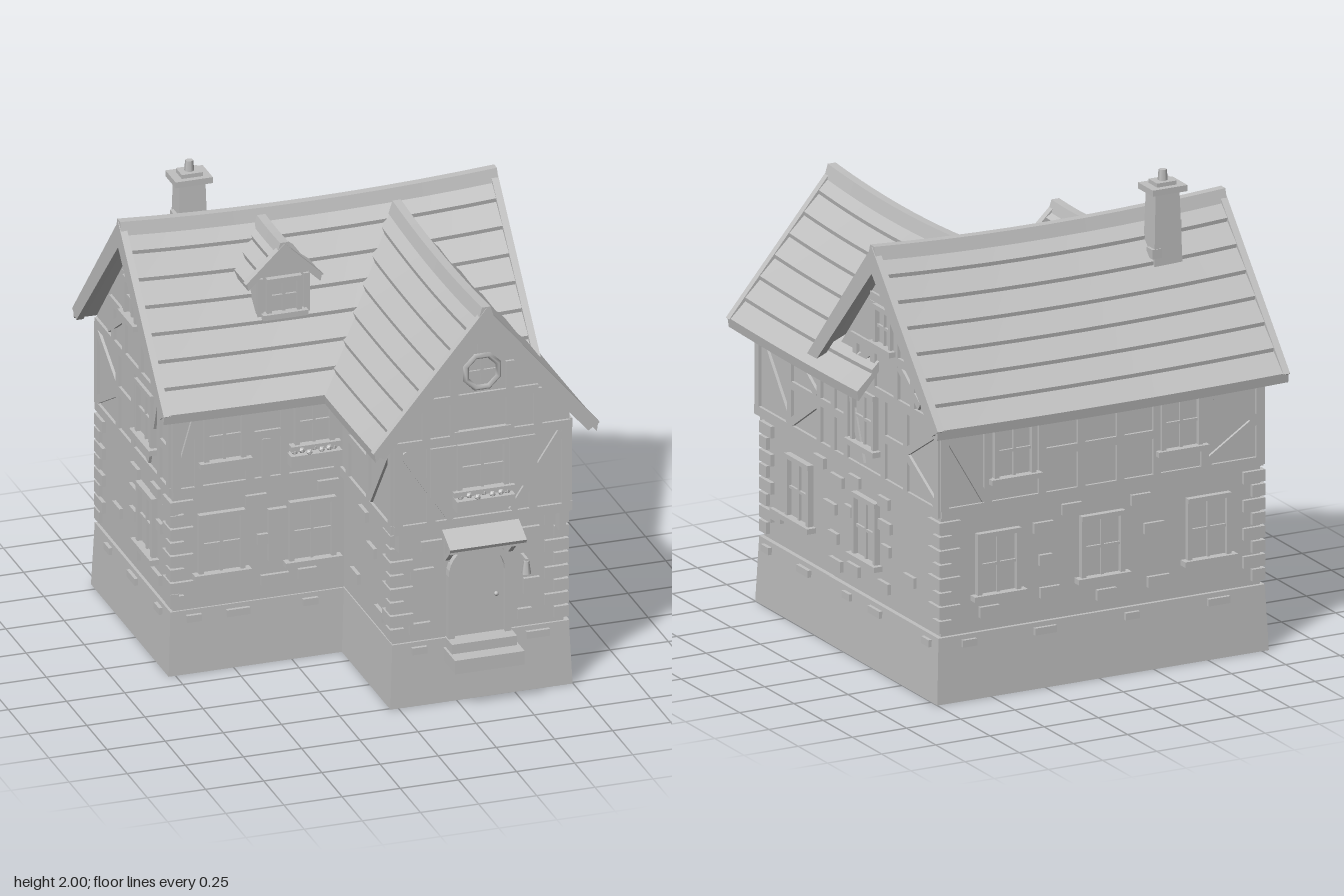
import * as THREE from 'three';

export function createModel() {
  const root = new THREE.Group();
  root.name = 'cottage';
  const grey = new THREE.MeshStandardMaterial({ color: 0xc0c0c0, side: THREE.DoubleSide });
  grey.name = 'plain grey';

  const group = (parent, name, x = 0, y = 0, z = 0, ry = 0) => {
    const g = new THREE.Group();
    g.name = name;
    g.position.set(x, y, z);
    g.rotation.y = ry;
    parent.add(g);
    return g;
  };
  const mesh = (parent, name, geo) => {
    const m = new THREE.Mesh(geo, grey);
    m.name = name;
    parent.add(m);
    return m;
  };
  // box given by its limits
  const box = (parent, name, x0, x1, y0, y1, z0, z1) => {
    const m = mesh(parent, name, new THREE.BoxGeometry(x1 - x0, y1 - y0, z1 - z0));
    m.position.set((x0 + x1) / 2, (y0 + y1) / 2, (z0 + z1) / 2);
    return m;
  };
  const outline = pts => new THREE.Shape(pts.map(p => new THREE.Vector2(p[0], p[1])));
  const extrude = (shape, depth) =>
    new THREE.ExtrudeGeometry(shape, { depth, bevelEnabled: false, curveSegments: 8 });
  // plank between two points on a wall
  const beam = (g, u1, v1, u2, v2, w = 0.035, d = 0.012, name = 'timber') => {
    const m = mesh(g, name, new THREE.BoxGeometry(Math.hypot(u2 - u1, v2 - v1), w, d + 0.01));
    m.position.set((u1 + u2) / 2, (v1 + v2) / 2, (d - 0.01) / 2);
    m.rotation.z = Math.atan2(v2 - v1, u2 - u1);
  };

  // ---- plinth: two open-bottomed, tapered boxes
  const plinth = (x0, x1, z0, z1) => {
    const m = box(root, 'plinth', x0, x1, 0, 0.28, z0, z1);
    const p = m.geometry.attributes.position;
    for (let i = 0; i < p.count; i++) {
      if (p.getY(i) < 0) continue;
      p.setX(i, p.getX(i) - Math.sign(p.getX(i)) * 0.012);
      p.setZ(i, p.getZ(i) - Math.sign(p.getZ(i)) * 0.012);
    }
    const idx = Array.from(m.geometry.index.array);
    m.geometry.setIndex(idx.filter((_, i) => i < 18 || i >= 24));
    m.geometry.clearGroups();
    m.geometry.computeVertexNormals();
  };
  plinth(-0.78, 0.75, -0.8, 0.16);
  plinth(-0.035, 0.748, -0.33, 0.76);

  // ---- walls
  box(root, 'stoneWall', -0.755, 0.718, 0.27, 0.8, -0.772, 0.14);
  box(root, 'stoneWall', -0.018, 0.716, 0.27, 0.8, -0.3, 0.738);
  const house = (hw, eave, apex) => outline([[-hw, 0.79], [hw, 0.79], [hw, eave], [0, apex], [-hw, eave]]);
  const mainUpper = mesh(root, 'upperWall', extrude(house(0.465, 1.21, 1.73), 1.485));
  mainUpper.rotation.y = Math.PI / 2;
  mainUpper.position.set(-0.76, 0, -0.315);
  const wingUpper = mesh(root, 'upperWall', extrude(house(0.378, 1.23, 1.69), 1.07));
  wingUpper.position.set(0.346, 0, -0.28);

  // ---- roofs: lapped rows on two slopes, ridge sagging in the middle
  const sagged = (geo, len, sag) => {
    const p = geo.attributes.position;
    for (let i = 0; i < p.count; i++) {
      const a = (2 * p.getX(i)) / len;
      p.setY(i, p.getY(i) - sag * (1 - a * a));
    }
    geo.computeVertexNormals();
    return geo;
  };
  const roof = (name, x, z, ry, len, top, W, H, rows, sag, bargeV, ends, t = 0.03) => {
    const g = group(root, name, x, 0, z, ry);
    for (const side of [0, Math.PI]) {
      const slope = group(g, 'roofSlope', 0, 0, 0, side);
      for (let r = 0; r < rows; r++) {
        const geo = new THREE.BoxGeometry(len, 1, 1, 10, 1, 1);
        const p = geo.attributes.position;
        for (let i = 0; i < p.count; i++) {
          const low = p.getZ(i) > 0, up = p.getY(i) > 0;
          const s = (r + (low ? 1 : 0)) / rows, a = (2 * p.getX(i)) / len;
          const lift = up ? (low ? 0.012 : -0.004) : -t;
          p.setZ(i, s * W + (up ? 0.006 : 0));
          p.setY(i, top - s * H + lift - sag * (1 - a * a) * (1 - 0.7 * s));
        }
        geo.computeVertexNormals();
        mesh(slope, 'shingleRow', geo);
      }
    }
    const cap = outline([[-0.035, -0.03], [0, -0.005], [0.035, -0.03], [0.018, 0.025], [-0.018, 0.025]]);
    const capGeo = new THREE.ExtrudeGeometry(cap, { depth: len, steps: 10, bevelEnabled: false });
    capGeo.rotateY(Math.PI / 2).translate(-len / 2, 0, 0);
    mesh(g, 'ridgeCap', sagged(capGeo, len, sag)).position.y = top;
    // gable boards
    const b = top + 0.02, k = bargeV * 0.45;
    const chevron = outline([[0, b], [W + 0.012, b - H - 0.01], [W + 0.012 - k, b - H - k * 0.8],
      [0, b - bargeV], [k - W - 0.012, b - H - k * 0.8], [-W - 0.012, b - H - 0.01]]);
    const geo = extrude(chevron, 0.03).rotateY(Math.PI / 2);
    for (const e of ends) mesh(g, 'gableBoard', geo).position.x = e * (len / 2 - 0.012) - 0.015;
  };
  roof('mainRoof', -0.016, -0.325, 0, 1.62, 1.81, 0.555, 0.62, 7, 0.028, 0.115, [-1, 1]);
  roof('wingRoof', 0.345, 0.298, Math.PI / 2, 1.11, 1.755, 0.475, 0.57, 7, 0.022, 0.11, [-1]);
  roof('dormerRoof', -0.225, -0.148, Math.PI / 2, 0.29, 1.76, 0.155, 0.15, 3, 0.004, 0.05, [-1], 0.02);

  // ---- chimney
  const stack = mesh(root, 'chimney', new THREE.CylinderGeometry(0.078, 0.098, 0.45, 4, 1).toNonIndexed().rotateY(Math.PI / 4));
  stack.geometry.computeVertexNormals();
  stack.scale.z = 0.76;
  stack.position.set(-0.48, 1.69, -0.448);
  box(root, 'chimneyCap', -0.56, -0.4, 1.912, 1.938, -0.512, -0.385);
  box(root, 'chimneyCap', -0.525, -0.435, 1.938, 1.955, -0.485, -0.41);
  mesh(root, 'chimneyPot', new THREE.CylinderGeometry(0.017, 0.022, 0.06, 6)).position.set(-0.48, 1.97, -0.448);
  box(root, 'chimneyStone', -0.555, -0.52, 1.74, 1.78, -0.47, -0.41);
  box(root, 'chimneyStone', -0.45, -0.405, 1.64, 1.68, -0.5, -0.45);

  // ---- wall-detail helpers; every wall frame has u to the right, v up, z outward
  const windowAt = (g, u, v0, v1, w = 0.2) => {
    const f = group(g, 'window'), h = w / 2, b = 0.02;
    box(f, 'pane', u - h, u + h, v0, v1, -0.01, 0.004);
    for (const s of [-1, 1]) {
      box(f, 'frame', u + s * (h - b / 2) - b / 2, u + s * (h - b / 2) + b / 2, v0, v1, -0.01, 0.024);
    }
    box(f, 'frame', u - h, u + h, v1 - b, v1, -0.01, 0.026);
    box(f, 'mullion', u - 0.006, u + 0.006, v0, v1, -0.01, 0.014);
    box(f, 'mullion', u - h, u + h, (v0 + v1) / 2 - 0.006, (v0 + v1) / 2 + 0.006, -0.01, 0.014);
    box(f, 'sill', u - h - 0.022, u + h + 0.022, v0 - 0.005, v0 + 0.018, -0.01, 0.04);
  };
  const stone = (g, u, v, w = 0.09, h = 0.045) => box(g, 'stone', u - w / 2, u + w / 2, v - h / 2, v + h / 2, -0.02, 0.016);
  // alternating corner stones; dir points from the corner into the wall
  const quoins = (g, u, dir) => {
    for (let i = 0; i < 8; i++) {
      const w = i % 2 ? 0.1 : 0.06, v = 0.325 + i * 0.06;
      stone(g, u + dir * (w / 2 - 0.016), v, w, 0.05);
    }
  };
  const frameWork = (g, u0, u1, posts, braces) => {
    beam(g, u0, 0.81, u1, 0.81, 0.04);
    beam(g, u0, 1.18, u1, 1.18, 0.04);
    posts.forEach(u => beam(g, u, 0.82, u, 1.18));
    braces.forEach(b => beam(g, ...b));
  };
  const flowerBox = (g, u, w) => {
    box(g, 'flowerBox', u - w / 2, u + w / 2, 0.875, 0.925, -0.01, 0.06);
    for (let i = 0; i < 7; i++) {
      const m = mesh(g, 'flower', new THREE.IcosahedronGeometry(0.014, 0));
      m.position.set(u + (i / 6 - 0.5) * (w - 0.05), 0.932 + (i % 2) * 0.008, 0.03 + (i % 3) * 0.01);
    }
  };
  const shutter = (g, u, v0, v1, w) => box(g, 'shutter', u - w / 2, u + w / 2, v0, v1, -0.01, 0.022);

  // ---- main front
  const lowF = group(root, 'frontStonework', 0, 0, 0.14);
  const upF = group(root, 'frontTimbers', 0, 0, 0.15);
  [-0.55, -0.16].forEach(u => windowAt(lowF, u, 0.42, 0.7));
  shutter(lowF, -0.31, 0.45, 0.68, 0.08);
  quoins(lowF, -0.755, 1);
  [[-0.32, 0.365, 0.12], [-0.18, 0.37, 0.08], [-0.4, 0.73], [-0.09, 0.75], [-0.37, 0.55, 0.05]].forEach(s => stone(lowF, ...s));
  frameWork(upF, -0.76, -0.03, [-0.745, -0.65, -0.43, -0.28, -0.05],
    [[-0.43, 1.02, -0.28, 1.02], [-0.74, 0.86, -0.66, 1.14], [-0.36, 0.83, -0.36, 1.0], [-0.65, 0.89, -0.43, 0.89]]);
  windowAt(upF, -0.54, 0.92, 1.16, 0.18);
  windowAt(upF, -0.155, 0.94, 1.16, 0.17);
  flowerBox(upF, -0.16, 0.22);

  // ---- wing front
  const lowW = group(root, 'wingStonework', 0.346, 0, 0.738);
  const upW = group(root, 'wingTimbers', 0.346, 0, 0.79);
  quoins(lowW, -0.364, 1);
  quoins(lowW, 0.37, -1);
  [[-0.25, 0.34], [-0.24, 0.58, 0.1], [0.23, 0.46, 0.07, 0.07], [-0.2, 0.7], [0.22, 0.7], [0.2, 0.34, 0.06]].forEach(s => stone(lowW, ...s));
  frameWork(upW, -0.378, 0.378, [-0.36, -0.22, 0.22, 0.36], []);
  beam(upW, -0.12, 1.2, 0.12, 1.2, 0.035, 0.02);
  beam(upW, -0.24, 1.36, 0.24, 1.36);
  beam(upW, 0, 1.56, 0, 1.66, 0.04);
  for (const s of [-1, 1]) {
    beam(upW, s * 0.34, 1.15, s * 0.13, 0.83);
    beam(upW, s * 0.12, 1.2, s * 0.12, 1.36);
    beam(upW, s * 0.24, 1.2, s * 0.24, 1.36);
    beam(upW, s * 0.12, 1.36, s * 0.12, 1.5);
    shutter(upW, s * 0.17, 0.94, 1.16, 0.11);
    box(upW, 'corbel', s * 0.345 - 0.014, s * 0.345 + 0.014, 0.71, 0.8, -0.06, 0.01);
  }
  windowAt(upW, 0, 0.94, 1.16, 0.22);
  flowerBox(upW, 0, 0.25);
  const ring = mesh(upW, 'roundWindow', new THREE.TorusGeometry(0.075, 0.013, 4, 8).rotateZ(Math.PI / 8));
  ring.position.set(0, 1.47, 0.008);
  beam(upW, -0.07, 1.47, 0.07, 1.47, 0.012, 0.008, 'mullion');
  beam(upW, 0, 1.4, 0, 1.54, 0.012, 0.008, 'mullion');

  // ---- door, canopy, steps and lantern
  const arch = (r, y0) => new THREE.Shape().moveTo(-r, y0).lineTo(r, y0).lineTo(r, 0.56).absarc(0, 0.56, r, 0, Math.PI).lineTo(-r, y0);
  const surround = arch(0.135, 0.27);
  surround.holes.push(arch(0.108, 0.275));
  mesh(lowW, 'doorSurround', extrude(surround, 0.035));
  mesh(lowW, 'door', extrude(arch(0.108, 0.275), 0.012));
  mesh(lowW, 'doorKnob', new THREE.SphereGeometry(0.01, 8, 6)).position.set(0.075, 0.45, 0.02);
  box(lowW, 'step', -0.15, 0.15, 0.18, 0.24, -0.01, 0.155);
  box(lowW, 'step', -0.14, 0.14, 0.24, 0.282, -0.01, 0.09);
  const canopy = box(lowW, 'canopy', -0.165, 0.165, 0.745, 0.762, -0.005, 0.145);
  canopy.rotation.x = 0.45;
  box(lowW, 'canopyBeam', -0.155, 0.155, 0.695, 0.72, 0.09, 0.115);
  for (const s of [-1, 1]) {
    const u = s * 0.135;
    const strut = box(lowW, 'canopyStrut', u - 0.01, u + 0.01, 0.665, 0.685, -0.02, 0.13);
    strut.rotation.x = -0.75;
    box(lowW, 'canopyPost', u - 0.01, u + 0.01, 0.62, 0.78, -0.01, 0.02);
  }
  box(lowW, 'lanternArm', 0.186, 0.198, 0.595, 0.605, -0.01, 0.065);
  mesh(lowW, 'lantern', new THREE.CylinderGeometry(0.012, 0.02, 0.055, 6)).position.set(0.192, 0.565, 0.055);

  // ---- side gables: u runs along the wall, mirrored for the left side
  const gable = (low, up, c, k) => {
    const U = z => k * (z - c);
    windowAt(low, U(-0.15), 0.42, 0.7);
    windowAt(up, U(-0.15), 0.91, 1.16);
    windowAt(up, U(-0.32), 1.38, 1.56, 0.15);
    quoins(low, U(-0.772), k);
    [[-0.52, 0.45], [-0.04, 0.36, 0.1], [-0.3, 0.36], [-0.32, 0.52, 0.07], [-0.31, 0.62, 0.1], [0, 0.6, 0.06], [-0.3, 0.72],
      [-0.05, 0.74], [0.1, 0.7, 0.1], [0.11, 0.34, 0.1]].forEach(([z, ...r]) => stone(low, U(z), ...r));
    frameWork(up, U(-0.78), U(0.14), [-0.765, -0.5, -0.31, 0.01, 0.12].map(U),
      [[U(-0.51), 1.0, U(-0.76), 1.15], [U(-0.51), 0.98, U(-0.76), 0.84], [U(-0.31), 1.0, U(-0.5), 1.0],
        [U(-0.02), 1.15, U(-0.13), 0.84], [U(0.02), 0.99, U(0.12), 0.99]]);
    beam(up, U(-0.6), 1.36, U(-0.03), 1.36);
    [-0.56, -0.42, -0.22, -0.07].forEach(z => beam(up, U(z), 1.2, U(z), 1.36));
    [-0.42, -0.22].forEach(z => beam(up, U(z), 1.36, U(z), 1.56));
    beam(up, U(-0.43), 1.58, U(-0.2), 1.58);
    beam(up, U(-0.62), 1.22, U(-0.44), 1.34);
    beam(up, U(-0.01), 1.22, U(-0.2), 1.34);
  };
  const right = Math.PI / 2;
  const lowR = group(root, 'rightStonework', 0.718, 0, 0, right), upR = group(root, 'rightTimbers', 0.725, 0, 0, right);
  gable(lowR, upR, 0, -1);
  const lowL = group(root, 'leftStonework', -0.755, 0, 0, -right), upL = group(root, 'leftTimbers', -0.76, 0, 0, -right);
  gable(lowL, upL, 0, 1);
  quoins(lowL, 0.14, -1);

  // wing sides
  windowAt(lowR, -0.42, 0.42, 0.7);
  quoins(lowR, -0.738, 1);
  [[-0.16, 0.57, 0.1], [-0.13, 0.45, 0.08], [-0.62, 0.4], [-0.25, 0.74]].forEach(s => stone(lowR, ...s));
  frameWork(upR, -0.79, -0.12, [-0.77, -0.49, -0.24],
    [[-0.75, 1.15, -0.5, 0.84], [-0.48, 1.0, -0.25, 1.0], [-0.48, 0.84, -0.25, 0.99], [-0.47, 1.15, -0.26, 1.02], [-0.23, 1.0, -0.13, 1.0]]);
  const lowI = group(root, 'wingInnerStonework', -0.018, 0, 0, -right), upI = group(root, 'wingInnerTimbers', -0.032, 0, 0, -right);
  quoins(lowI, 0.738, -1);
  [[0.3, 0.4], [0.5, 0.6], [0.4, 0.72], [0.6, 0.36]].forEach(s => stone(lowI, ...s));
  frameWork(upI, 0.15, 0.79, [0.77, 0.5, 0.25], [[0.75, 1.15, 0.52, 0.84], [0.27, 1.0, 0.5, 1.0]]);

  // ---- back
  const lowB = group(root, 'backStonework', 0, 0, -0.772, Math.PI), upB = group(root, 'backTimbers', 0, 0, -0.78, Math.PI);
  [-0.46, 0.02, 0.51].forEach(u => windowAt(lowB, u, 0.42, 0.7));
  quoins(lowB, -0.718, 1);
  quoins(lowB, 0.755, -1);
  [[-0.22, 0.4], [-0.25, 0.68], [0.26, 0.6], [0.28, 0.37, 0.1], [-0.12, 0.74], [0.2, 0.73], [0.04, 0.35], [-0.5, 0.36], [-0.24, 0.54, 0.06]].forEach(s => stone(lowB, ...s));
  frameWork(upB, -0.725, 0.76, [-0.71, -0.51, -0.26, -0.08, 0.1, 0.27, 0.49, 0.745],
    [[-0.7, 1.15, -0.52, 0.84], [0.73, 0.99, 0.5, 1.15], [0.73, 0.99, 0.5, 0.84], [-0.26, 1.0, 0.27, 1.0]]);
  [-0.39, 0.38].forEach(u => windowAt(upB, u, 0.91, 1.16, 0.19));

  // ---- plinth stones along each side
  const plinthRow = (x, z, ry, us) => {
    const g = group(root, 'plinthStones', x, 0, z, ry);
    us.forEach((u, i) => stone(g, u, 0.245, i % 2 ? 0.1 : 0.065, 0.03));
  };
  plinthRow(0, 0.148, 0, [-0.67, -0.48, -0.17]);
  plinthRow(0, 0.748, 0, [0.09, 0.6]);
  plinthRow(0.738, 0, right, [-0.67, -0.35, 0.02, 0.26, 0.7]);
  plinthRow(-0.768, 0, -right, [-0.6, -0.3, 0.02]);
  plinthRow(0, -0.788, Math.PI, [-0.6, -0.25, 0.15, 0.55]);

  // ---- dormer
  const dormer = group(root, 'dormer', -0.225, 0, -0.025);
  const front = outline([[-0.115, 1.45], [0.115, 1.45], [0.115, 1.63], [0, 1.735], [-0.115, 1.63]]);
  mesh(dormer, 'dormerBody', extrude(front, 0.24)).position.z = -0.24;
  windowAt(dormer, 0, 1.46, 1.63, 0.15);
  for (const s of [-1, 1]) beam(dormer, s * 0.1, 1.45, s * 0.1, 1.63, 0.025);

  return root;
}
